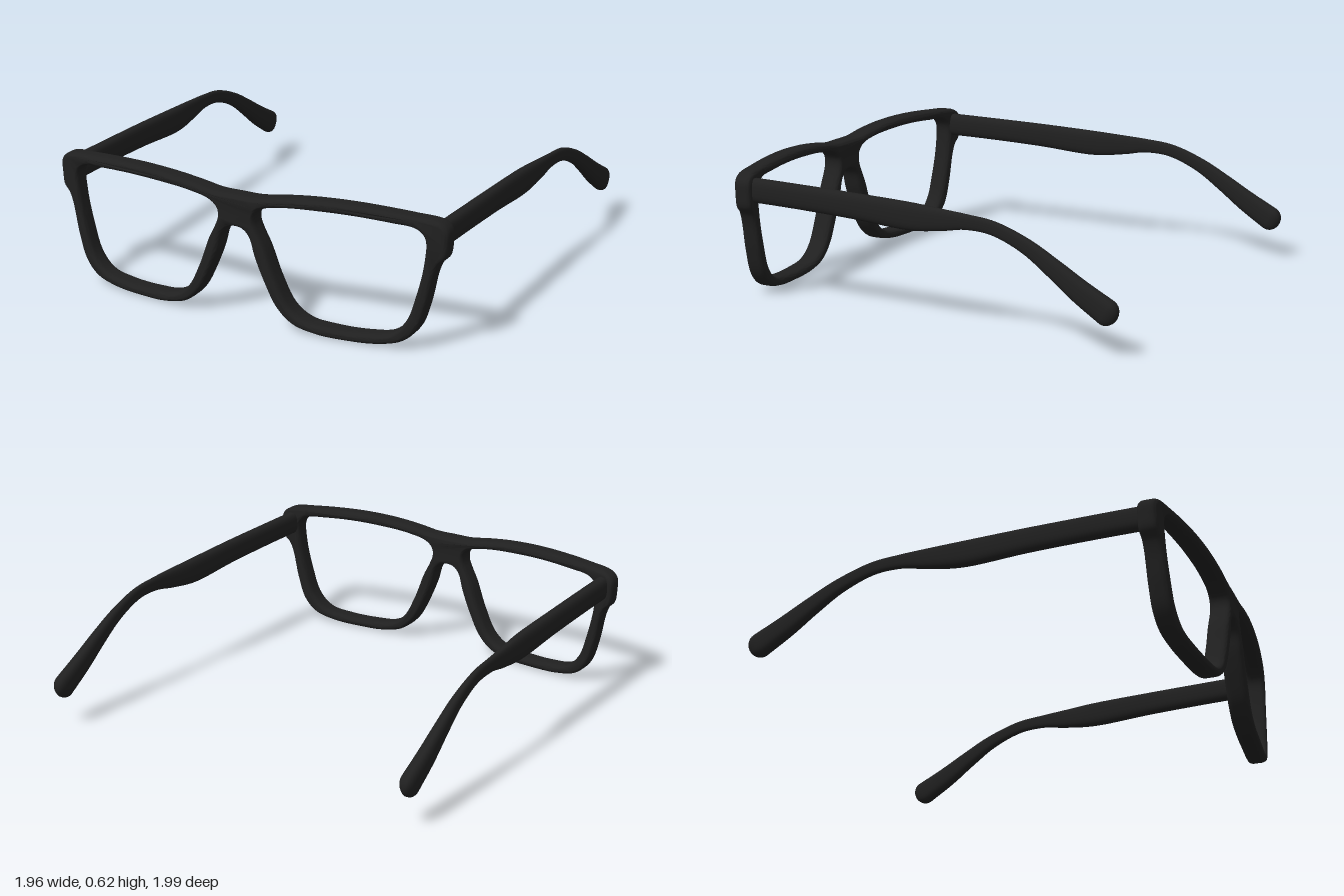
import * as THREE from 'three';
import { toCreasedNormals } from 'three/addons/utils/BufferGeometryUtils.js';

// Closed smooth outline through a few [x, y] points
function outline(points, count) {
  const curve = new THREE.CatmullRomCurve3(points.map(([x, y]) => new THREE.Vector3(x, y, 0)), true);
  return curve.getSpacedPoints(count).slice(0, -1).map((p) => new THREE.Vector2(p.x, p.y));
}

// Right half of the rim outline, from below the bridge round to the top
const HALF_RIM = [
  [0.04, 0.43], [0.066, 0.4], [0.09, 0.32], [0.14, 0.2], [0.195, 0.1], [0.27, 0.035], [0.38, 0.007],
  [0.5, 0.002], [0.66, 0.01], [0.77, 0.04], [0.835, 0.105], [0.875, 0.22], [0.905, 0.36], [0.925, 0.41],
  [0.953, 0.44], [0.962, 0.5], [0.96, 0.565], [0.925, 0.595], [0.8, 0.61], [0.55, 0.622], [0.35, 0.616],
  [0.2, 0.6], [0.1, 0.585],
];
const LENS = [
  [0.09, 0.47], [0.094, 0.51], [0.13, 0.54], [0.24, 0.563], [0.38, 0.573], [0.55, 0.576], [0.72, 0.568],
  [0.825, 0.556], [0.862, 0.52], [0.86, 0.41], [0.825, 0.25], [0.785, 0.135], [0.72, 0.07], [0.6, 0.048],
  [0.45, 0.046], [0.33, 0.06], [0.255, 0.11], [0.19, 0.23], [0.14, 0.36], [0.105, 0.43],
];
const mirror = (pts) => pts.map(([x, y]) => [-x, y]).reverse();

function frontFrame(material) {
  const rim = [[0, 0.44], ...HALF_RIM, [0, 0.584], ...mirror(HALF_RIM)];
  const shape = new THREE.Shape(outline(rim, 320));
  for (const lens of [LENS, mirror(LENS)]) shape.holes.push(new THREE.Path(outline(lens, 140)));
  const geometry = new THREE.ExtrudeGeometry(shape, {
    depth: 0.04, steps: 1, bevelEnabled: true, bevelThickness: 0.03,
    bevelSize: 0.017, bevelOffset: -0.017, bevelSegments: 5,
  });
  geometry.translate(0, 0, -0.02);
  // Wrap the front backwards toward the hinges
  const pos = geometry.attributes.position;
  for (let i = 0; i < pos.count; i++) {
    const k = (pos.getX(i) / 0.95) ** 2;
    pos.setZ(i, pos.getZ(i) * (1 - 0.15 * k) + 0.94 - 0.085 * k);
  }
  const mesh = new THREE.Mesh(toCreasedNormals(geometry, 0.8), material);
  mesh.name = 'frontFrame';
  return mesh;
}

// Temple stations: x, y, z, half width, half height
const TEMPLE = [
  [0.905, 0.52, 0.86, 0.033, 0.056], [0.91, 0.515, 0.6, 0.032, 0.056], [0.915, 0.506, 0.3, 0.03, 0.058],
  [0.918, 0.492, 0.02, 0.029, 0.062], [0.927, 0.495, -0.15, 0.022, 0.049], [0.933, 0.501, -0.28, 0.016, 0.034],
  [0.936, 0.487, -0.42, 0.016, 0.031], [0.938, 0.429, -0.57, 0.021, 0.034], [0.941, 0.35, -0.7, 0.027, 0.042],
  [0.943, 0.27, -0.82, 0.032, 0.051], [0.944, 0.196, -0.945, 0.035, 0.058],
];

function temple(side, material) {
  const path = new THREE.CatmullRomCurve3(TEMPLE.map(([x, y, z]) => new THREE.Vector3(side * x, y, z)), false, 'catmullrom');
  const size = new THREE.CatmullRomCurve3(TEMPLE.map(([, , , w, h]) => new THREE.Vector3(w, h, 0)), false, 'catmullrom');
  const steps = 60, sides = 24, tip = 7;
  const rings = [{ t: 0, push: 0, scale: 0 }];
  for (let i = 0; i <= steps; i++) rings.push({ t: i / steps, push: 0, scale: 1 });
  // Rounded tip
  for (let i = 1; i <= tip; i++) {
    const a = (i / tip) * Math.PI / 2;
    rings.push({ t: 1, push: 0.053 * Math.sin(a), scale: Math.cos(a) });
  }
  const soft = (v) => Math.sign(v) * Math.abs(v) ** 0.75;
  const across = new THREE.Vector3(1, 0, 0);
  const positions = [], index = [];
  rings.forEach(({ t, push, scale }, r) => {
    const tangent = path.getTangent(t);
    const up = across.clone().cross(tangent).normalize();
    const centre = path.getPoint(t).addScaledVector(tangent, push);
    const s = size.getPoint(t);
    for (let j = 0; j < sides; j++) {
      const a = (j / sides) * Math.PI * 2;
      const p = centre.clone()
        .addScaledVector(across, s.x * scale * soft(Math.cos(a)))
        .addScaledVector(up, s.y * scale * soft(Math.sin(a)));
      positions.push(p.x, p.y, p.z);
      if (r < rings.length - 1) {
        const p0 = r * sides + j, p1 = r * sides + (j + 1) % sides;
        index.push(p0, p0 + sides, p1, p1, p0 + sides, p1 + sides);
      }
    }
  });
  const geometry = new THREE.BufferGeometry();
  geometry.setAttribute('position', new THREE.Float32BufferAttribute(positions, 3));
  geometry.setIndex(index);
  geometry.computeVertexNormals();
  const mesh = new THREE.Mesh(geometry, material);
  mesh.name = side > 0 ? 'leftTemple' : 'rightTemple';
  return mesh;
}

export function createModel() {
  const black = new THREE.MeshStandardMaterial({ color: 0x202020 });
  black.name = 'black';
  const group = new THREE.Group();
  group.name = 'glasses';
  group.add(frontFrame(black), temple(1, black), temple(-1, black));
  return group;
}
